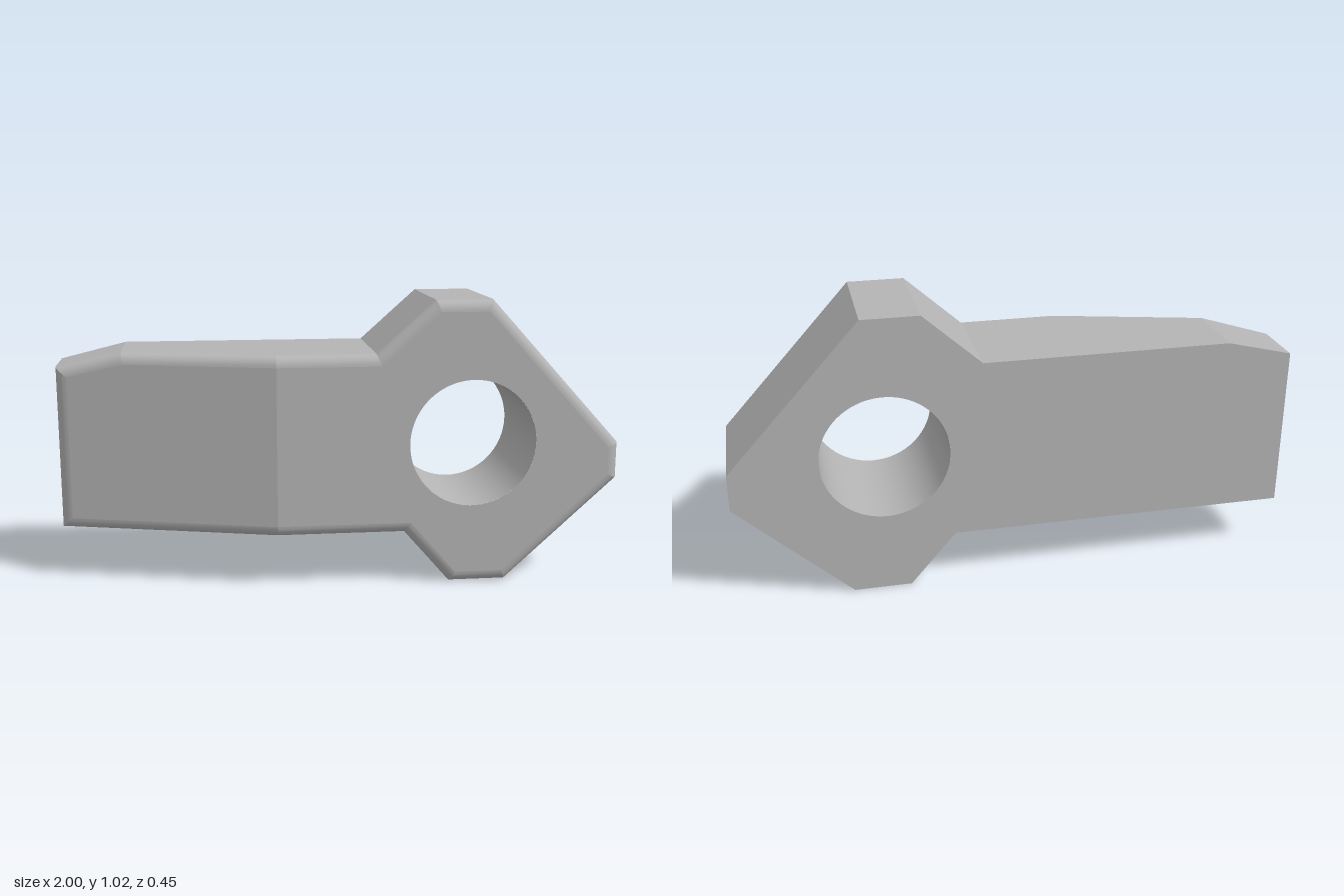
import * as THREE from 'three';

const BACK = -0.223, FRONT = 0.223, CREASE = -0.23, ROUND = 0.04, STEPS = 6;
const HOLE = { x: 0.465, y: 0.515, r: 0.227 };

// Counter-clockwise outline; the points on x = CREASE mark the start of the taper
const outline = [
  [-1, 0.19], [CREASE, 0.19], [0.225, 0.19], [0.39, 0], [0.595, 0], [1, 0.37], [1, 0.502],
  [0.53, 1.02], [0.327, 1.02], [0.12, 0.835], [CREASE, 0.835], [-0.765, 0.835], [-1, 0.777],
].map(([x, y]) => new THREE.Vector2(x, y));

// Front face depth: flat over the head, tapering towards the tail
const frontZ = (x) => FRONT - Math.max(0, CREASE - x) * 0.265;

// Mitred inset of the outline
function inset(d) {
  const n = outline.length;
  const normal = (a, b) => new THREE.Vector2(a.y - b.y, b.x - a.x).normalize();
  return outline.map((p, i) => {
    const n1 = normal(outline[(i + n - 1) % n], p);
    const n2 = normal(p, outline[(i + 1) % n]);
    return n1.clone().add(n2).multiplyScalar(d / (1 + n1.dot(n2))).add(p);
  });
}

// Wall plus rounded front edge along one side of the outline
function sideStrip(rings, i) {
  const j = (i + 1) % outline.length, pos = [], index = [];
  rings.forEach((ring, k) => {
    pos.push(...ring[i].toArray(), ...ring[j].toArray());
    if (k) {
      const a = 2 * k - 2;
      index.push(a, a + 1, a + 3, a, a + 3, a + 2);
    }
  });
  const g = new THREE.BufferGeometry();
  g.setAttribute('position', new THREE.Float32BufferAttribute(pos, 3));
  g.setIndex(index);
  g.computeVertexNormals();
  return g;
}

// Flat face, optionally bored, with its depth set by a rule
function face(points, bored, depth) {
  const shape = new THREE.Shape(points);
  if (bored) shape.holes.push(new THREE.Path().absarc(HOLE.x, HOLE.y, HOLE.r, 0, Math.PI * 2, true));
  const g = new THREE.ShapeGeometry(shape, 64);
  const p = g.attributes.position;
  for (let i = 0; i < p.count; i++) p.setZ(i, depth(p.getX(i)));
  g.computeVertexNormals();
  return g;
}

export function createModel() {
  const model = new THREE.Group();
  const grey = new THREE.MeshStandardMaterial({ color: 0xb4b4b4 });
  grey.name = 'grey';
  const add = (name, geometry, parent = model) => {
    const mesh = new THREE.Mesh(geometry, grey);
    mesh.name = name;
    parent.add(mesh);
    return mesh;
  };

  // Rings: back edge, then the quarter-round up to the front face
  const rings = [outline.map((p) => new THREE.Vector3(p.x, p.y, BACK))];
  for (let k = 0; k <= STEPS; k++) {
    const a = (k / STEPS) * Math.PI / 2;
    rings.push(inset(ROUND * (1 - Math.cos(a))).map((p) =>
      new THREE.Vector3(p.x, p.y, frontZ(p.x) - ROUND * (1 - Math.sin(a)))));
  }
  const walls = new THREE.Group();
  walls.name = 'sideWalls';
  model.add(walls);
  outline.forEach((_, i) => add('sideWall', sideStrip(rings, i), walls));

  // Front faces, split at the crease
  const rim = inset(ROUND);
  add('headFront', face(rim.slice(1, 11), true, frontZ));
  add('tailFront', face([rim[0], rim[1], ...rim.slice(10)], false, frontZ));

  // Back face, turned to look backwards
  const back = face(outline.map((p) => new THREE.Vector2(p.x, p.y)), true, () => BACK);
  const idx = back.index;
  for (let i = 0; i < idx.count; i += 3) {
    const b = idx.getX(i + 1);
    idx.setX(i + 1, idx.getX(i + 2));
    idx.setX(i + 2, b);
  }
  back.computeVertexNormals();
  add('back', back);

  // Bore wall, facing inwards
  const bore = new THREE.LatheGeometry(
    [new THREE.Vector2(HOLE.r, FRONT), new THREE.Vector2(HOLE.r, BACK)], 64);
  bore.rotateX(Math.PI / 2);
  add('bore', bore).position.set(HOLE.x, HOLE.y, 0);

  return model;
}
